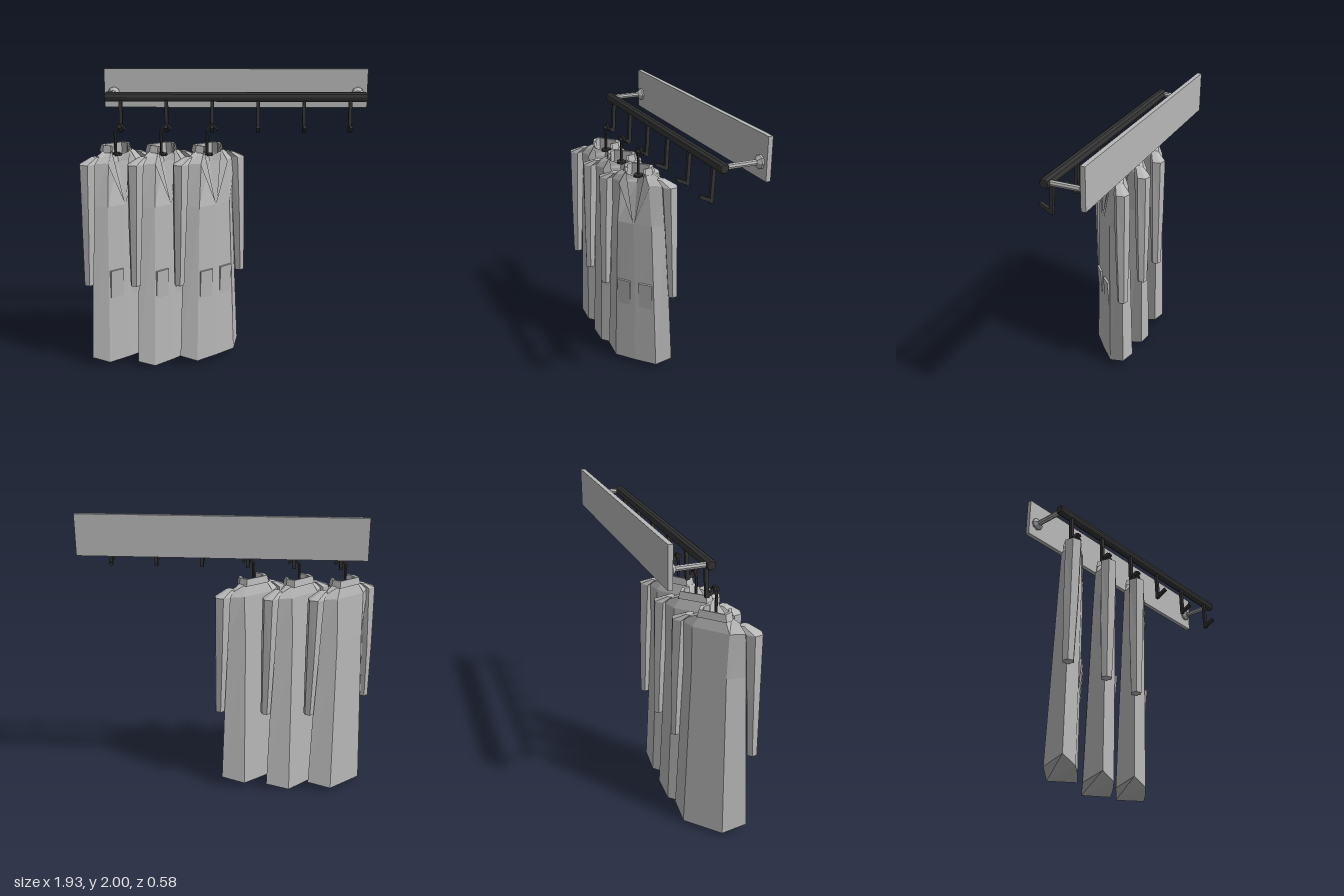
import * as THREE from 'three';

const grey = new THREE.MeshStandardMaterial({ color: 0xb8b8b8, flatShading: true, side: THREE.DoubleSide });
grey.name = 'light grey';
const dark = new THREE.MeshStandardMaterial({ color: 0x333333, flatShading: true });
dark.name = 'dark metal';

const V = (x, y, z) => new THREE.Vector3(x, y, z);

function add(parent, name, geometry, material) {
  const mesh = new THREE.Mesh(geometry, material);
  mesh.name = name;
  parent.add(mesh);
  return mesh;
}

// faceted geometry from a list of polygons
function facets(polygons) {
  const pts = [];
  for (const p of polygons)
    for (let i = 1; i < p.length - 1; i++) pts.push(p[0], p[i], p[i + 1]);
  const g = new THREE.BufferGeometry().setFromPoints(pts);
  g.computeVertexNormals();
  return g;
}

// closed skin over rings that run from bottom to top
function loft(rings) {
  const faces = [[...rings[0]].reverse(), rings[rings.length - 1]];
  for (let i = 0; i < rings.length - 1; i++) {
    const a = rings[i], b = rings[i + 1];
    a.forEach((p, j) => {
      const k = (j + 1) % a.length;
      faces.push([p, a[k], b[k]], [p, b[k], b[j]]);
    });
  }
  return facets(faces);
}

// straight bar between two points, round or square
function bar(parent, name, a, b, r, sides, material, r2 = r) {
  const mesh = add(parent, name, new THREE.CylinderGeometry(r2, r, a.distanceTo(b), sides), material);
  if (sides === 4) mesh.geometry.rotateY(Math.PI / 4);
  mesh.position.copy(a).lerp(b, 0.5);
  mesh.quaternion.setFromUnitVectors(V(0, 1, 0), b.clone().sub(a).normalize());
  return mesh;
}

// body ring: back, side, front and centre points, each with its own height
function bodyRing({ w, f, zf, b, zb, zc, y, ys = y, yf = y, yc = yf }) {
  return [
    V(-b, y, zb), V(-w, ys, -0.01), V(-f, yf, zf), V(0, yc, zc),
    V(f, yf, zf), V(w, ys, -0.01), V(b, y, zb),
  ];
}

function makeCoat(hem) {
  const coat = new THREE.Group();
  coat.name = 'coat';

  // body with a recessed neck opening
  add(coat, 'coatBody', loft([
    bodyRing({ w: 0.258, f: 0.165, zf: 0.06, b: 0.14, zb: -0.12, zc: 0.065, y: hem, ys: hem + 0.04 }),
    bodyRing({ w: 0.208, f: 0.13, zf: 0.055, b: 0.115, zb: -0.09, zc: 0.06, y: 1.13 }),
    bodyRing({ w: 0.235, f: 0.105, zf: 0.045, b: 0.12, zb: -0.08, zc: 0.005, y: 1.42 }),
    bodyRing({ w: 0.1, f: 0.075, zf: 0.03, b: 0.08, zb: -0.06, zc: -0.005, y: 1.5, yf: 1.48, yc: 1.45 }),
    bodyRing({ w: 0.08, f: 0.06, zf: 0.015, b: 0.07, zb: -0.05, zc: -0.008, y: 1.45 }),
  ]), grey);

  for (const s of [-1, 1]) {
    // sleeve: height, inner x, outer x, half depth
    const rows = [
      [0.605, 0.232, 0.3, 0.033], [1.0, 0.21, 0.298, 0.045],
      [1.425, 0.18, 0.295, 0.05], [1.465, 0.15, 0.2, 0.03],
    ];
    add(coat, 'sleeve', loft(rows.map(([y, x0, x1, d]) =>
      Array.from({ length: 6 }, (_, i) => {
        const a = -i * Math.PI / 3;
        return V(s * (x0 + x1) / 2 + Math.cos(a) * (x1 - x0) / 2, y, -Math.sin(a) * -d * 1.1);
      }).reverse())), grey);

    // lapel folded along the neckline
    add(coat, 'lapel', facets([
      [V(s * 0.07, 1.5, 0.035), V(s * 0.115, 1.41, 0.055), V(s * 0.004, 1.14, 0.07)],
      [V(s * 0.07, 1.5, 0.035), V(s * 0.004, 1.14, 0.07), V(s * 0.07, 1.41, 0.04)],
    ]), grey);

    // pocket leaning out at its top edge
    const x0 = s * 0.035, x1 = s * 0.135;
    const p = [V(x0, 0.49, 0.062), V(x1, 0.49, 0.059), V(x1, 0.685, 0.073), V(x0, 0.685, 0.076)];
    add(coat, 'pocket', facets([
      p,
      [p[3], p[2], V(x1, 0.685, 0.055), V(x0, 0.685, 0.055)],
      [p[0], p[3], V(x0, 0.685, 0.055)],
      [p[1], p[2], V(x1, 0.685, 0.055)],
    ]), grey);
  }

  // turned-down collar around the back of the neck
  const path = [[-0.075, 0.04], [-0.1, -0.01], [-0.085, -0.065], [0.085, -0.065], [0.1, -0.01], [0.075, 0.04]];
  const collar = [];
  for (let i = 0; i < path.length - 1; i++) {
    const at = (j, k, y) => V(path[j][0] * k, y, path[j][1] * k);
    collar.push(
      [at(i, 1.12, 1.485), at(i + 1, 1.12, 1.485), at(i + 1, 1, 1.532), at(i, 1, 1.532)],
      [at(i, 1, 1.532), at(i + 1, 1, 1.532), at(i + 1, 0.8, 1.53), at(i, 0.8, 1.53)],
      [at(i, 0.8, 1.53), at(i + 1, 0.8, 1.53), at(i + 1, 0.8, 1.46), at(i, 0.8, 1.46)],
    );
  }
  add(coat, 'collar', facets(collar), grey);

  // hanger base in the neck opening
  const base = add(coat, 'hangerBase', new THREE.CylinderGeometry(0.034, 0.034, 0.014, 8), dark);
  base.position.set(0, 1.462, -0.012);
  return coat;
}

export function createModel() {
  const model = new THREE.Group();
  model.name = 'wallCoatRack';

  // wall board
  add(model, 'wallBoard', new THREE.BoxGeometry(1.82, 0.265, 0.03), grey).position.set(0.05, 1.8675, -0.27);

  // rail with chamfered ends
  const rail = add(model, 'rail', new THREE.LatheGeometry([
    [0, -0.872], [0.026, -0.872], [0.033, -0.86], [0.033, 0.86], [0.026, 0.872], [0, 0.872],
  ].map(p => new THREE.Vector2(...p)), 10), dark);
  rail.rotation.z = Math.PI / 2;
  rail.position.set(0.05, 1.835, -0.011);

  // brackets
  for (const x of [-0.795, 0.892]) {
    bar(model, 'bracketRod', V(x, 1.835, -0.255), V(x, 1.835, -0.01), 0.018, 8, grey);
    bar(model, 'bracketFlange', V(x, 1.835, -0.256), V(x, 1.835, -0.243), 0.042, 8, grey);
    bar(model, 'bracketCone', V(x, 1.835, -0.243), V(x, 1.835, -0.222), 0.042, 8, grey, 0.02);
  }

  // hooks
  for (let i = 0; i < 6; i++) {
    const x = -0.715 + 0.305 * i;
    bar(model, 'hookStem', V(x, 1.815, -0.002), V(x, 1.6, 0.009), 0.016, 4, dark);
    bar(model, 'hookFoot', V(x, 1.61, 0.0), V(x, 1.65, 0.083), 0.016, 4, dark);
  }

  // coats turned on their hangers
  [[42, 0.022], [45, 0.0], [41, 0.036]].forEach(([angle, hem], i) => {
    const x = -0.735 + 0.305 * i;
    const coat = makeCoat(hem);
    coat.rotation.y = THREE.MathUtils.degToRad(angle);
    coat.position.set(x, 0, 0.067);
    model.add(coat);

    // bent hanger wire over the hook
    const pts = [[-0.015, 1.46], [-0.015, 1.62], [0.02, 1.665], [0.057, 1.625]].map(([dx, y]) => V(x + dx, y, 0.055));
    for (let j = 0; j < 3; j++) bar(model, 'hangerWire', pts[j], pts[j + 1], 0.01, 6, dark);
  });

  return model;
}
